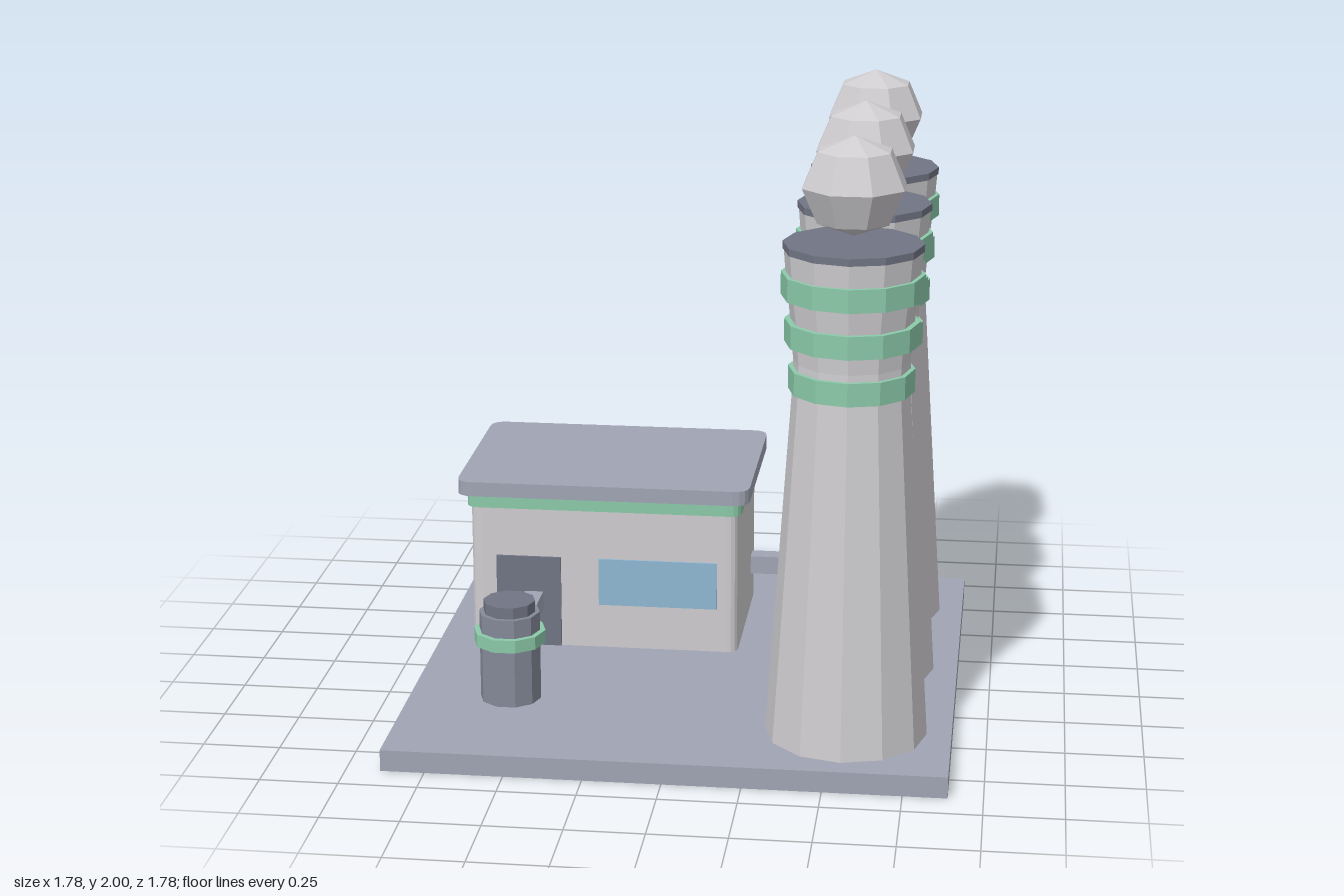
import * as THREE from 'three';

function mat(name, color, flatShading = true) {
  const m = new THREE.MeshStandardMaterial({ color, flatShading });
  m.name = name;
  return m;
}

export function createModel() {
  const model = new THREE.Group();
  model.name = 'powerPlant';
  const concrete = mat('concrete', 0xcfcdd0);
  const slate = mat('slate', 0xa0a4b3);
  const dark = mat('darkMetal', 0x717584);
  const steel = mat('steel', 0x858a99);
  const green = mat('greenTrim', 0x8ccaaa);
  const glass = mat('windowGlass', 0x8fb8d4);

  function add(parent, name, geometry, material, x = 0, y = 0, z = 0) {
    const mesh = new THREE.Mesh(geometry, material);
    mesh.name = name;
    mesh.position.set(x, y, z);
    parent.add(mesh);
    return mesh;
  }

  // Box given by its minimum and maximum corners
  function box(parent, name, material, [x0, y0, z0], [x1, y1, z1]) {
    return add(parent, name, new THREE.BoxGeometry(x1 - x0, y1 - y0, z1 - z0), material,
      (x0 + x1) / 2, (y0 + y1) / 2, (z0 + z1) / 2);
  }

  // Upright prism standing between two heights
  function drum(parent, name, material, r, y0, y1, sides) {
    const geometry = new THREE.CylinderGeometry(r, r, y1 - y0, sides);
    geometry.rotateY(Math.PI / 2);
    return add(parent, name, geometry, material, 0, (y0 + y1) / 2, 0);
  }

  // Slab with rounded vertical corners
  function slab(parent, name, material, w, d, r, y0, y1) {
    const s = new THREE.Shape();
    const a = w / 2, b = d / 2;
    s.moveTo(-a + r, -b);
    s.lineTo(a - r, -b);
    s.quadraticCurveTo(a, -b, a, -b + r);
    s.lineTo(a, b - r);
    s.quadraticCurveTo(a, b, a - r, b);
    s.lineTo(-a + r, b);
    s.quadraticCurveTo(-a, b, -a, b - r);
    s.lineTo(-a, -b + r);
    s.quadraticCurveTo(-a, -b, -a + r, -b);
    const geometry = new THREE.ExtrudeGeometry(s,
      { depth: y1 - y0, bevelEnabled: false, curveSegments: 4 });
    geometry.rotateX(-Math.PI / 2);
    return add(parent, name, geometry, material, 0, y0, 0);
  }

  // Ground plate
  box(model, 'groundPlate', slate, [-0.89, 0, -0.89], [0.89, 0.07, 0.89]);

  // Three waisted cooling towers with trim rings and a steam puff each
  const profile = [[0.258, 0.07], [0.183, 1.2], [0.181, 1.3], [0.19, 1.42], [0.205, 1.55], [0.213, 1.65]]
    .map(([r, y]) => new THREE.Vector2(r, y));
  for (const z of [-0.56, 0, 0.56]) {
    const tower = new THREE.Group();
    tower.name = 'coolingTower';
    tower.position.set(0.553, 0, z);
    model.add(tower);
    add(tower, 'towerShaft', new THREE.LatheGeometry(profile, 12), concrete);
    for (const [r, y] of [[0.196, 1.205], [0.209, 1.355], [0.221, 1.503]]) {
      drum(tower, 'towerBand', green, r, y, y + 0.073, 12);
    }
    drum(tower, 'towerCap', dark, 0.217, 1.647, 1.67, 12);
    const puff = new THREE.SphereGeometry(0.167, 8, 4);
    puff.rotateY(Math.PI / 8);
    puff.scale(1, 0.155 / 0.167, 1);
    add(tower, 'steamPuff', puff, concrete, 0, 1.845, 0);
  }

  // Control building
  const building = new THREE.Group();
  building.name = 'controlBuilding';
  building.position.set(-0.318, 0, -0.376);
  model.add(building);
  slab(building, 'walls', concrete, 0.915, 0.62, 0.04, 0.07, 0.565);
  slab(building, 'wallTrim', green, 0.94, 0.645, 0.045, 0.562, 0.612);
  slab(building, 'roof', slate, 0.995, 0.7, 0.055, 0.61, 0.66);
  box(model, 'door', dark, [-0.687, 0.07, -0.067], [-0.465, 0.39, -0.059]);
  box(model, 'window', glass, [-0.335, 0.225, -0.067], [0.07, 0.39, -0.059]);

  // Storage tank
  const tank = new THREE.Group();
  tank.name = 'storageTank';
  tank.position.set(-0.558, 0, 0.405);
  model.add(tank);
  drum(tank, 'tankBody', steel, 0.1, 0.07, 0.37, 10);
  drum(tank, 'tankBand', green, 0.118, 0.265, 0.308, 10);
  drum(tank, 'tankLid', dark, 0.085, 0.37, 0.408, 10);

  // Square connecting ducts
  box(model, 'tankDuct', slate, [-0.59, 0.2, -0.08], [-0.527, 0.265, 0.33]);
  box(model, 'towerDuct', slate, [0.12, 0.188, -0.595], [0.34, 0.252, -0.532]);

  return model;
}
